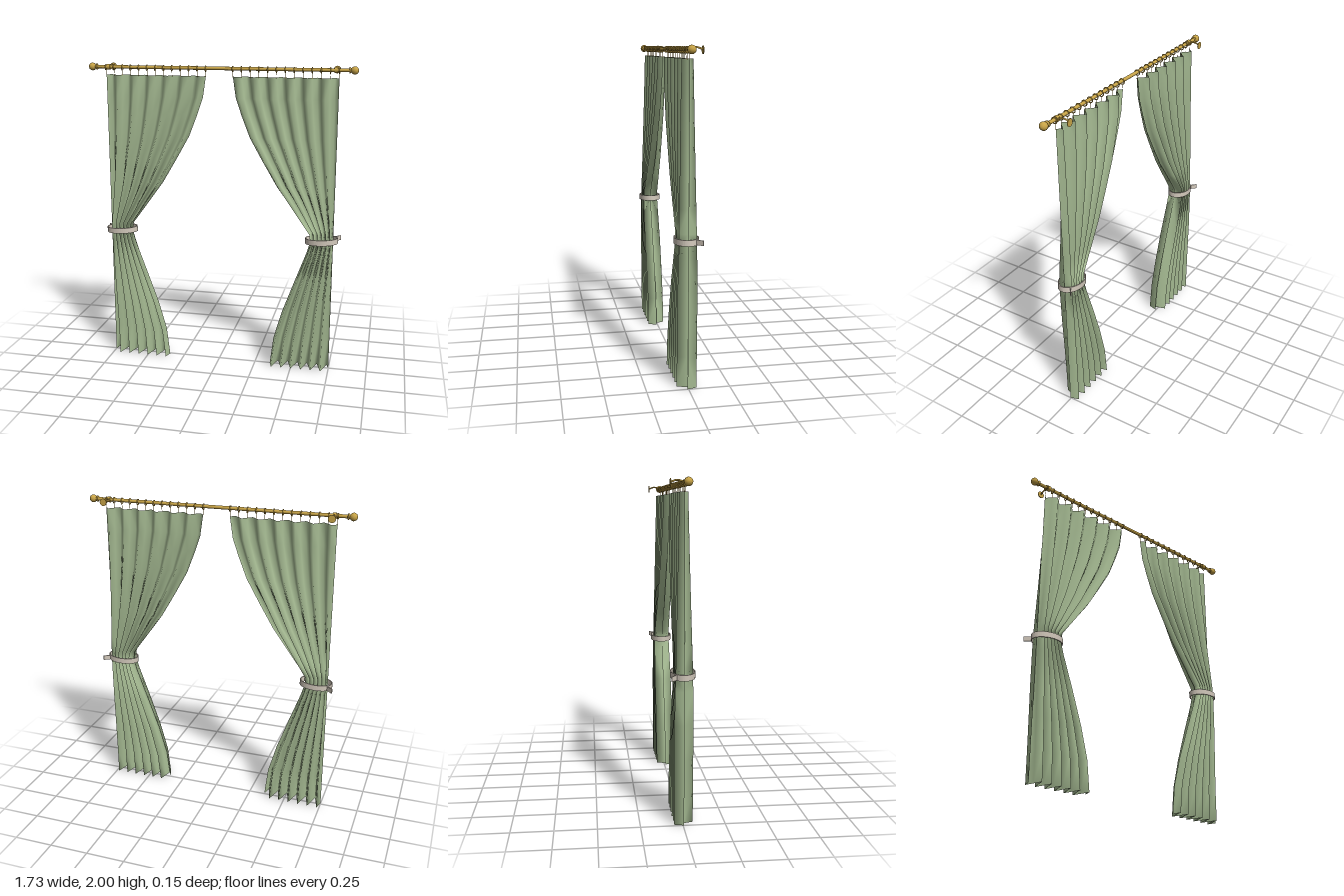
import * as THREE from 'three';

const fabric = new THREE.MeshStandardMaterial({ color: 0xa5ba92, side: THREE.DoubleSide });
fabric.name = 'sage fabric';
const brass = new THREE.MeshStandardMaterial({ color: 0xc9a548 });
brass.name = 'brass';
const ribbon = new THREE.MeshStandardMaterial({ color: 0xd2c8bb });
ribbon.name = 'pale ribbon';

const ROD_Y = 1.975, ROD_Z = 0.013, OUTER = 0.75, TOP = 1.925;
const FOLDS = 6, COLS = FOLDS * 4;

// inner edge of a panel: [height, x]
const innerEdge = [
  [0, 0.353], [0.19, 0.375], [0.385, 0.43], [0.6, 0.507], [0.8, 0.58], [0.88, 0.603],
  [0.94, 0.594], [1.08, 0.49], [1.23, 0.38], [1.39, 0.285], [1.54, 0.2], [1.68, 0.145], [1.79, 0.107], [TOP, 0.087],
];

function add(parent, name, geometry, material, x = 0, y = 0, z = 0) {
  const mesh = new THREE.Mesh(geometry, material);
  mesh.name = name;
  mesh.position.set(x, y, z);
  parent.add(mesh);
  return mesh;
}

// pleated sheet whose width follows the inner edge; columns run towards +x
function panelGeometry(side) {
  const pos = [], index = [];
  innerEdge.forEach(([y, inner], r) => {
    const amp = y < 0.8 ? 0.057 : THREE.MathUtils.mapLinear(y, 0.8, TOP, 0.053, 0.028);
    for (let c = 0; c <= COLS; c++) {
      const u = side > 0 ? 1 - c / COLS : c / COLS;
      const z = 0.006 - amp * Math.sin(u * FOLDS * Math.PI * 2);
      pos.push(side * THREE.MathUtils.lerp(OUTER, inner, u), y, z);
      if (r > 0 && c > 0) {
        const d = r * (COLS + 1) + c, b = d - COLS - 1;
        index.push(b - 1, b, d, b - 1, d, d - 1);
      }
    }
  });
  const g = new THREE.BufferGeometry();
  g.setAttribute('position', new THREE.Float32BufferAttribute(pos, 3));
  g.setIndex(index);
  g.computeVertexNormals();
  return g;
}

// thin oval band standing on edge
function bandGeometry() {
  const shape = new THREE.Shape().absellipse(0, 0, 0.105, 0.073, 0, Math.PI * 2);
  shape.holes.push(new THREE.Path().absellipse(0, 0, 0.099, 0.067, 0, Math.PI * 2));
  const g = new THREE.ExtrudeGeometry(shape, { depth: 0.036, curveSegments: 24, bevelEnabled: false });
  return g.translate(0, 0, -0.018).rotateX(-Math.PI / 2);
}

function finialGeometry() {
  const profile = [
    [0, 0], [0.019, 0], [0.019, 0.006], [0.013, 0.009], [0.013, 0.013], [0.021, 0.02],
    [0.025, 0.031], [0.024, 0.041], [0.017, 0.051], [0.008, 0.056], [0, 0.057],
  ];
  return new THREE.LatheGeometry(profile.map(([r, y]) => new THREE.Vector2(r, y)), 20);
}

export function createModel() {
  const model = new THREE.Group();
  model.name = 'curtains';

  // rod
  add(model, 'rod', new THREE.CylinderGeometry(0.011, 0.011, 1.63, 16), brass, 0, ROD_Y, ROD_Z).rotation.z = Math.PI / 2;

  const ringGeo = new THREE.TorusGeometry(0.017, 0.0032, 8, 20).rotateY(Math.PI / 2);
  const hookGeo = new THREE.CylinderGeometry(0.0015, 0.0015, 0.036, 6);

  for (const side of [-1, 1]) {
    const half = new THREE.Group();
    half.name = side > 0 ? 'leftCurtain' : 'rightCurtain';
    model.add(half);

    add(half, 'panel', panelGeometry(side), fabric);
    add(half, 'finial', finialGeometry(), brass, side * 0.808, ROD_Y, ROD_Z).rotation.z = -side * Math.PI / 2;

    // rings with small hooks
    for (let i = 0; i <= FOLDS * 2; i++) {
      const x = side * THREE.MathUtils.lerp(OUTER, 0.087, i / (FOLDS * 2));
      add(half, 'ring', ringGeo, brass, x, ROD_Y - 0.003, ROD_Z);
      add(half, 'ringHook', hookGeo, brass, x, 1.938, 0.009);
    }

    // wall bracket: plate, curved arm and a collar on the rod
    const bx = side * 0.73;
    add(half, 'wallPlate', new THREE.CylinderGeometry(0.023, 0.023, 0.005, 20), brass, bx, ROD_Y - 0.002, -0.073).rotation.x = Math.PI / 2;
    const arm = new THREE.CatmullRomCurve3([
      new THREE.Vector3(bx, ROD_Y, -0.073), new THREE.Vector3(bx, ROD_Y + 0.011, -0.045),
      new THREE.Vector3(bx, ROD_Y + 0.01, -0.02), new THREE.Vector3(bx, ROD_Y, 0.005),
    ]);
    add(half, 'bracketArm', new THREE.TubeGeometry(arm, 12, 0.005, 8), brass);
    add(half, 'bracketCollar', new THREE.CylinderGeometry(0.018, 0.018, 0.022, 16), brass, bx, ROD_Y, ROD_Z).rotation.z = Math.PI / 2;

    // tieback with a tail running to the wall
    const tie = new THREE.Group();
    tie.name = 'tieback';
    tie.position.set(side * 0.675, 0.892, 0.004);
    tie.rotation.z = 0.05;
    half.add(tie);
    add(tie, 'band', bandGeometry(), ribbon);
    add(tie, 'tail', new THREE.BoxGeometry(0.05, 0.03, 0.006), ribbon, side * 0.099, 0, -0.06).rotation.y = side * 0.7;
  }
  return model;
}
